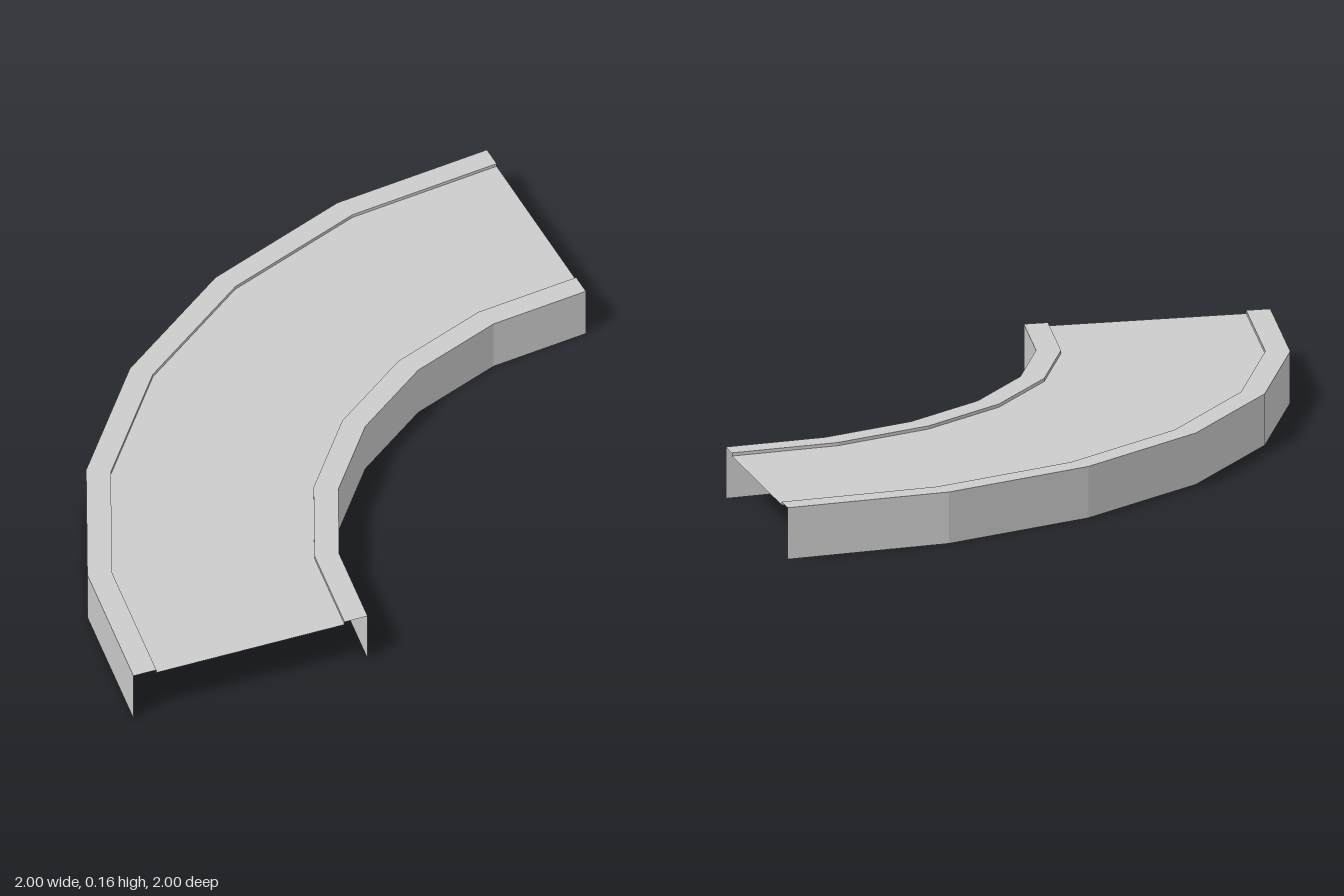
import * as THREE from 'three';

const TOP = 0.16; // curb height
const ROAD = 0.15; // road surface, slightly sunk between the curbs
const STEPS = 6; // facets over the quarter turn

export function createModel() {
  const group = new THREE.Group();
  group.name = 'curvedRoad';
  const material = new THREE.MeshStandardMaterial({
    color: 0xcccccc, flatShading: true, side: THREE.DoubleSide,
  });

  // Sweeps a [radius, height] profile through a quarter turn about the corner (1, 1)
  function sweep(name, profile) {
    const points = profile.map(([r, y]) => new THREE.Vector2(r, y));
    const geometry = new THREE.LatheGeometry(points, STEPS, Math.PI, Math.PI / 2).toNonIndexed();
    geometry.computeVertexNormals();
    geometry.translate(1, 0, 1);
    const mesh = new THREE.Mesh(geometry, material);
    mesh.name = name;
    group.add(mesh);
  }

  // Profiles run from the outside of the bend to the inside; the underside is open
  sweep('outerCurb', [[2, 0], [2, TOP], [1.925, TOP], [1.925, ROAD]]);
  sweep('roadSurface', [[1.925, ROAD], [1.31, ROAD]]);
  sweep('innerCurb', [[1.31, ROAD], [1.31, TOP], [1.235, TOP], [1.235, 0]]);

  return group;
}
